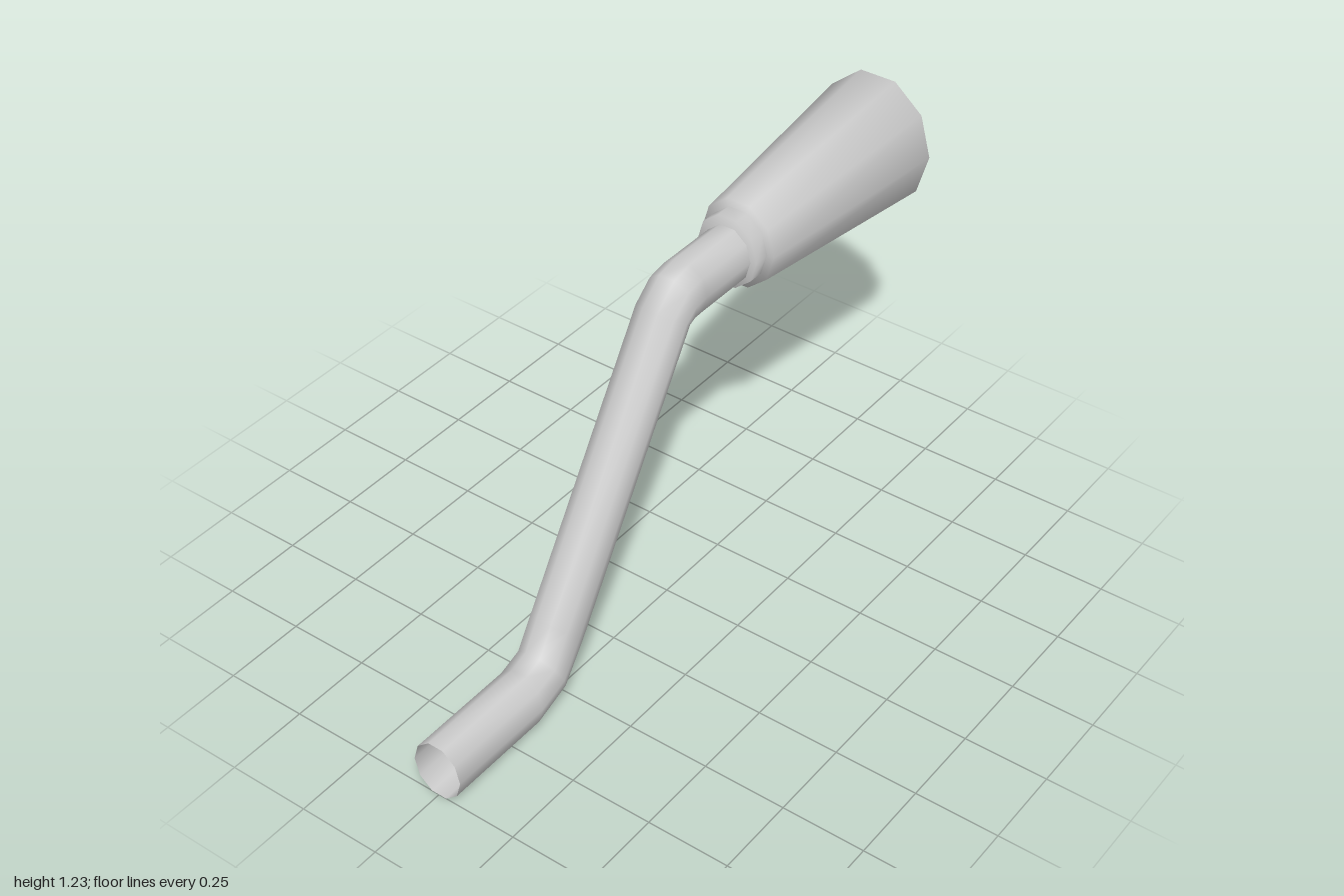
import * as THREE from 'three';

const SIDES = 10;
const STRETCH = 1.15; // the sections are slightly taller than wide
const material = new THREE.MeshStandardMaterial({ color: 0xcccccc, side: THREE.DoubleSide });

// Bent open tube: each ring is given by its top and bottom points [z, y]
function bentTube(rings, halfWidth) {
  const positions = [], index = [];
  const reach = Math.sin(Math.PI * 0.4); // height of the flat top of a ten-sided ring
  rings.forEach(([zTop, yTop, zBottom, yBottom], r) => {
    for (let i = 0; i < SIDES; i++) {
      const a = (i / SIDES) * Math.PI * 2;
      const s = Math.sin(a) / reach / 2;
      positions.push(
        halfWidth * Math.cos(a),
        (yTop + yBottom) / 2 + (yTop - yBottom) * s,
        (zTop + zBottom) / 2 + (zTop - zBottom) * s
      );
      if (r === 0) continue;
      const j = (i + 1) % SIDES;
      const a0 = (r - 1) * SIDES + i, a1 = (r - 1) * SIDES + j;
      const b0 = r * SIDES + i, b1 = r * SIDES + j;
      index.push(a0, b0, a1, a1, b0, b1);
    }
  });
  const geometry = new THREE.BufferGeometry();
  geometry.setAttribute('position', new THREE.Float32BufferAttribute(positions, 3));
  geometry.setIndex(index);
  geometry.computeVertexNormals();
  return geometry;
}

// Turned part along -z, profile as [radius, distance behind the origin]
function turned(name, profile) {
  const points = profile.map(([r, d]) => new THREE.Vector2(r, d));
  const geometry = new THREE.LatheGeometry(points, SIDES, Math.PI / 2);
  geometry.rotateX(-Math.PI / 2);
  geometry.scale(1, STRETCH, 1);
  geometry.translate(0, 1.027, 0);
  const mesh = new THREE.Mesh(geometry, material);
  mesh.name = name;
  return mesh;
}

export function createModel() {
  const model = new THREE.Group();
  model.name = 'crankHandle';

  // Crank arm: shaft end, lower bend, slanted arm, upper bend, grip spindle
  const arm = new THREE.Mesh(bentTube([
    [1, 0.175, 1, 0],
    [0.66, 0.175, 0.66, 0],
    [0.6, 0.195, 0.53, 0.05],
    [0.55, 0.28, 0.445, 0.165],
    [0.075, 1.025, -0.04, 0.94],
    [0, 1.09, -0.05, 0.937],
    [-0.07, 1.105, -0.075, 0.935],
    [-0.3, 1.105, -0.3, 0.935],
  ], 0.078), material);
  arm.name = 'crankArm';
  model.add(arm);

  // Collar and tapered grip
  model.add(turned('collar', [[0, 0.27], [0.098, 0.27], [0.098, 0.33]]));
  model.add(turned('grip', [[0, 0.32], [0.12, 0.32], [0.186, 1], [0, 1]]));

  return model;
}
